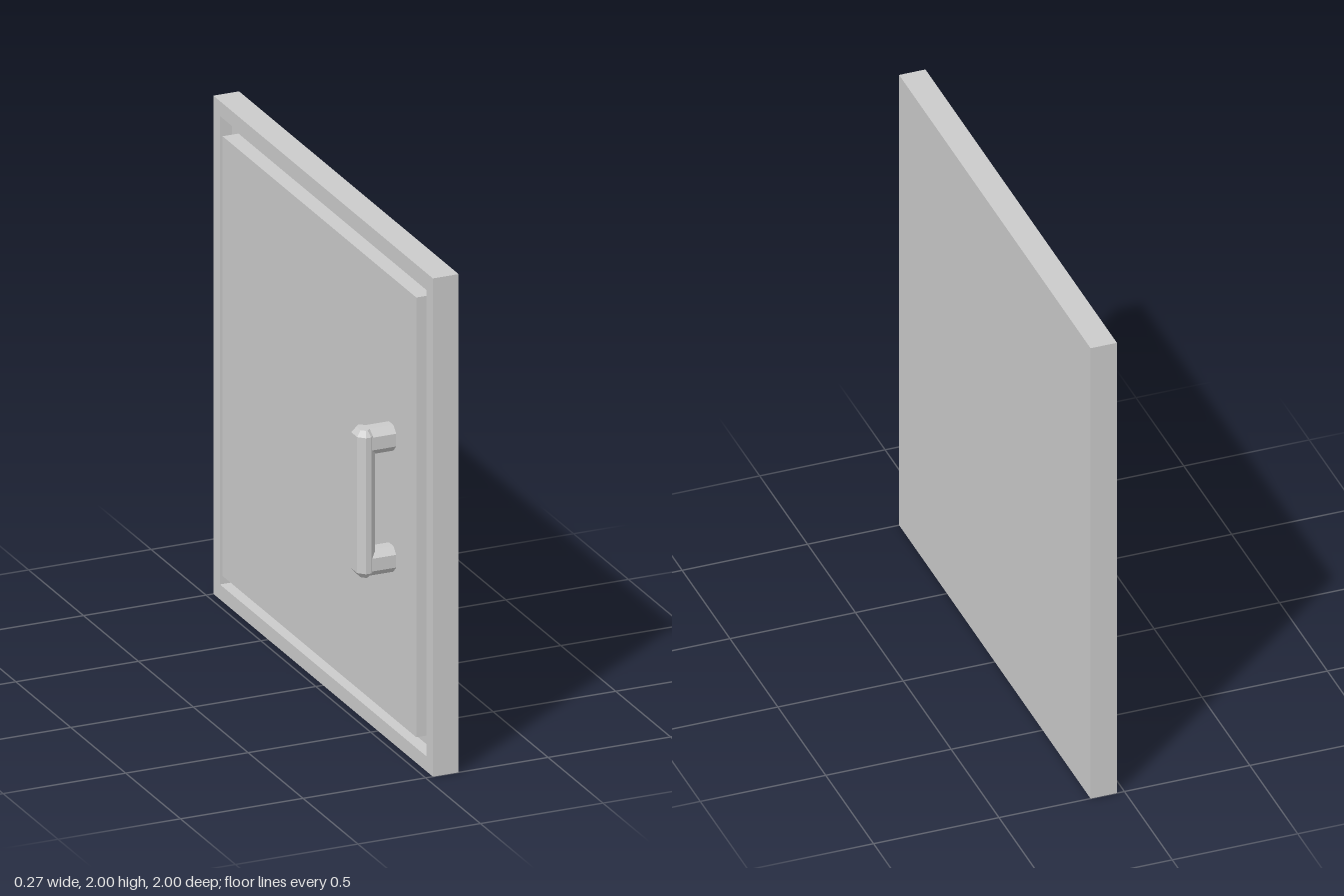
import * as THREE from 'three';

const mat = new THREE.MeshStandardMaterial({ color: 0xcccccc, flatShading: true });

function add(group, name, geometry, x, y, z) {
  const mesh = new THREE.Mesh(geometry, mat);
  mesh.name = name;
  mesh.position.set(x, y, z);
  group.add(mesh);
  return mesh;
}

// Rectangle w by h with corners cut by c, centred on the origin
function chamferedRect(w, h, c) {
  const a = w / 2, b = h / 2;
  return new THREE.Shape([
    [a, -b + c], [a, b - c], [a - c, b], [-a + c, b],
    [-a, b - c], [-a, -b + c], [-a + c, -b], [a - c, -b],
  ].map(([x, y]) => new THREE.Vector2(x, y)));
}

function square(PathClass, half) {
  return new PathClass([[-half, -half], [half, -half], [half, half], [-half, half]]
    .map(([x, y]) => new THREE.Vector2(x, y)));
}

export function createModel() {
  const model = new THREE.Group();
  model.name = 'cabinetDoor';

  // Back plate, which also forms the floor of the groove
  add(model, 'backPlate', new THREE.BoxGeometry(0.055, 2, 2), 0.1075, 1, 0);

  // Square rim around the groove
  const rim = square(THREE.Shape, 1);
  rim.holes.push(square(THREE.Path, 0.94));
  const rimGeo = new THREE.ExtrudeGeometry(rim, { depth: 0.05, bevelEnabled: false });
  add(model, 'rim', rimGeo.rotateY(Math.PI / 2), 0.03, 1, 0);

  // Raised centre panel
  add(model, 'panel', new THREE.BoxGeometry(0.065, 1.765, 1.765), 0.0475, 1, 0);

  // Handle: upright grip with bevelled ends and two legs
  const handle = new THREE.Group();
  handle.name = 'handle';
  handle.position.set(0, 1, 0.653);
  model.add(handle);

  const bevel = 0.022;
  const gripGeo = new THREE.ExtrudeGeometry(chamferedRect(0.072, 0.105, 0.025), {
    depth: 0.59 - 2 * bevel, bevelEnabled: true, bevelSegments: 1,
    bevelThickness: bevel, bevelSize: 0.018, bevelOffset: -0.018,
  });
  gripGeo.translate(0, 0, -(0.59 - 2 * bevel) / 2).rotateX(-Math.PI / 2);
  add(handle, 'grip', gripGeo, -0.1, 0, 0);

  for (const side of [-1, 1]) {
    const legGeo = new THREE.ExtrudeGeometry(chamferedRect(0.093, 0.103, 0.026),
      { depth: 0.115, bevelEnabled: false });
    add(handle, side > 0 ? 'upperLeg' : 'lowerLeg', legGeo.rotateY(Math.PI / 2), -0.095, side * 0.243, 0);
  }
  return model;
}
